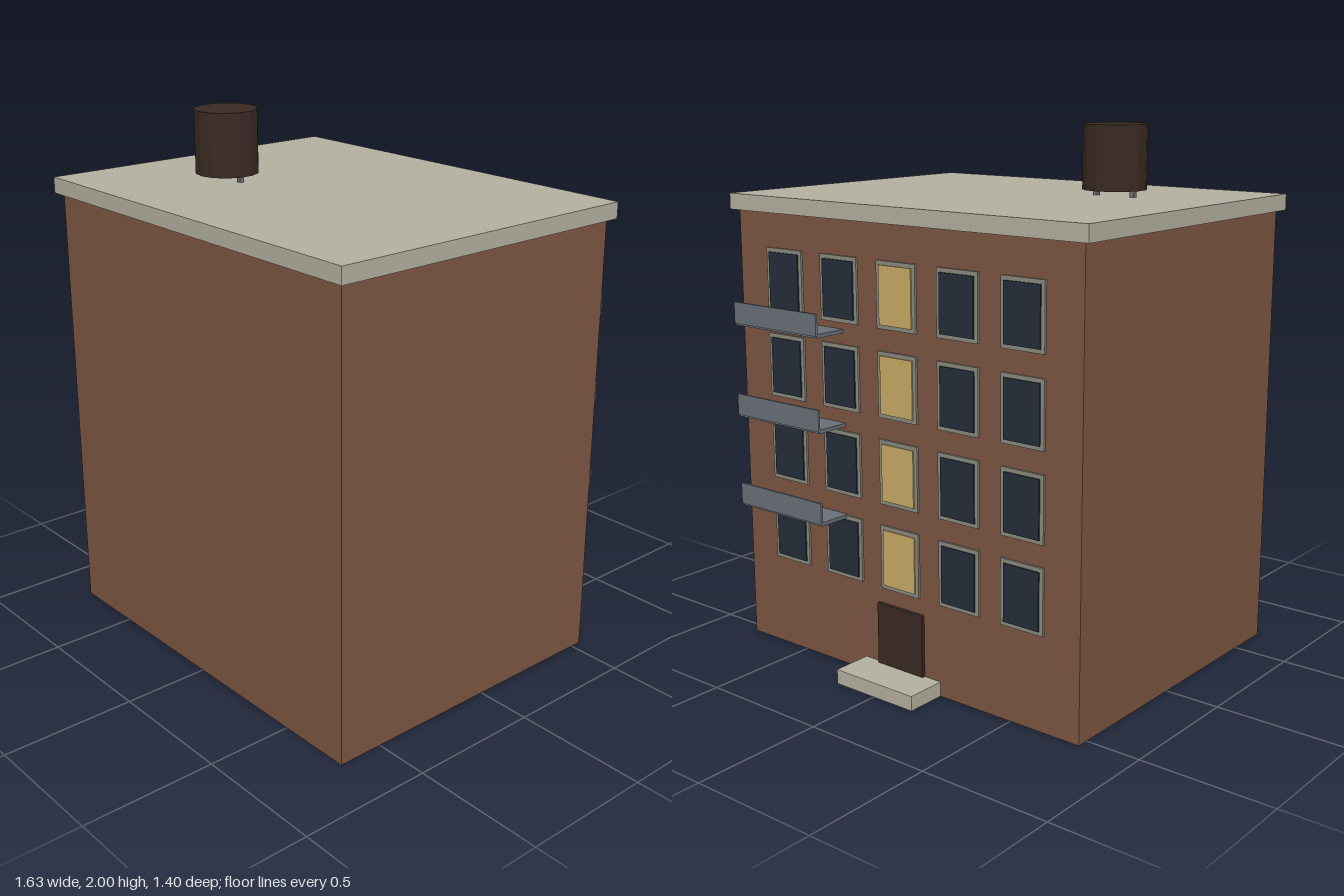
import * as THREE from 'three';

const material = (color) => new THREE.MeshStandardMaterial({ color, flatShading: true });
const brick = material(0x7d5643);
const concrete = material(0xb5b0a0);
const glass = material(0x262e3a);
const litGlass = material(0xc9ab66);
const frameGrey = material(0x8b8b80);
const metal = material(0x6b7078);
const darkWood = material(0x3a2a23);

const WALL = -0.545; // z of the wall with the entrance

// Box given by its extents along each axis
function box(parent, name, mat, [x0, x1], [y0, y1], [z0, z1]) {
  const mesh = new THREE.Mesh(new THREE.BoxGeometry(x1 - x0, y1 - y0, z1 - z0), mat);
  mesh.position.set((x0 + x1) / 2, (y0 + y1) / 2, (z0 + z1) / 2);
  mesh.name = name;
  parent.add(mesh);
  return mesh;
}

function createWindow(x, y, pane) {
  const g = new THREE.Group();
  g.name = 'window';
  box(g, 'windowFrame', frameGrey, [x - 0.09, x + 0.09], [y - 0.12, y + 0.12], [WALL - 0.008, WALL + 0.01]);
  box(g, 'windowPane', pane, [x - 0.075, x + 0.075], [y - 0.105, y + 0.105], [WALL - 0.013, WALL + 0.01]);
  return g;
}

function createBalcony(y) {
  const g = new THREE.Group();
  g.name = 'balcony';
  box(g, 'balconySlab', metal, [0.263, 0.687], [y - 0.007, y + 0.007], [-0.676, WALL]);
  box(g, 'balconyRailing', metal, [0.263, 0.687], [y, y + 0.08], [-0.681, -0.672]);
  return g;
}

// Tank on two short posts
function createTank() {
  const g = new THREE.Group();
  g.name = 'waterTank';
  const tank = new THREE.Mesh(new THREE.CylinderGeometry(0.118, 0.118, 0.235, 14), darkWood);
  tank.name = 'tankBody';
  tank.position.y = 1.8825;
  g.add(tank);
  for (const side of [-1, 1]) {
    const x = side * 0.08;
    box(g, 'tankPost', metal, [x - 0.009, x + 0.009], [1.73, 1.78], [-0.009, 0.009]);
  }
  g.position.set(-0.372, 0, 0.225);
  return g;
}

export function createModel() {
  const model = new THREE.Group();
  model.name = 'apartmentBlock';

  box(model, 'walls', brick, [-0.79, 0.79], [0, 1.68], [WALL, 0.675]);
  box(model, 'roofSlab', concrete, [-0.817, 0.817], [1.68, 1.74], [-0.568, 0.698]);

  // Four floors of five windows, the stairwell column lit
  for (let floor = 0; floor < 4; floor++) {
    for (let col = -2; col <= 2; col++) {
      model.add(createWindow(col * 0.276, 0.47 + floor * 0.32, col === 0 ? litGlass : glass));
    }
  }

  for (let i = 0; i < 3; i++) model.add(createBalcony(0.586 + i * 0.346));

  // Entrance
  box(model, 'door', darkWood, [-0.108, 0.108], [0, 0.29], [WALL - 0.013, WALL + 0.01]);
  box(model, 'doorstep', concrete, [-0.182, 0.182], [0, 0.055], [-0.7, WALL]);

  model.add(createTank());
  return model;
}
